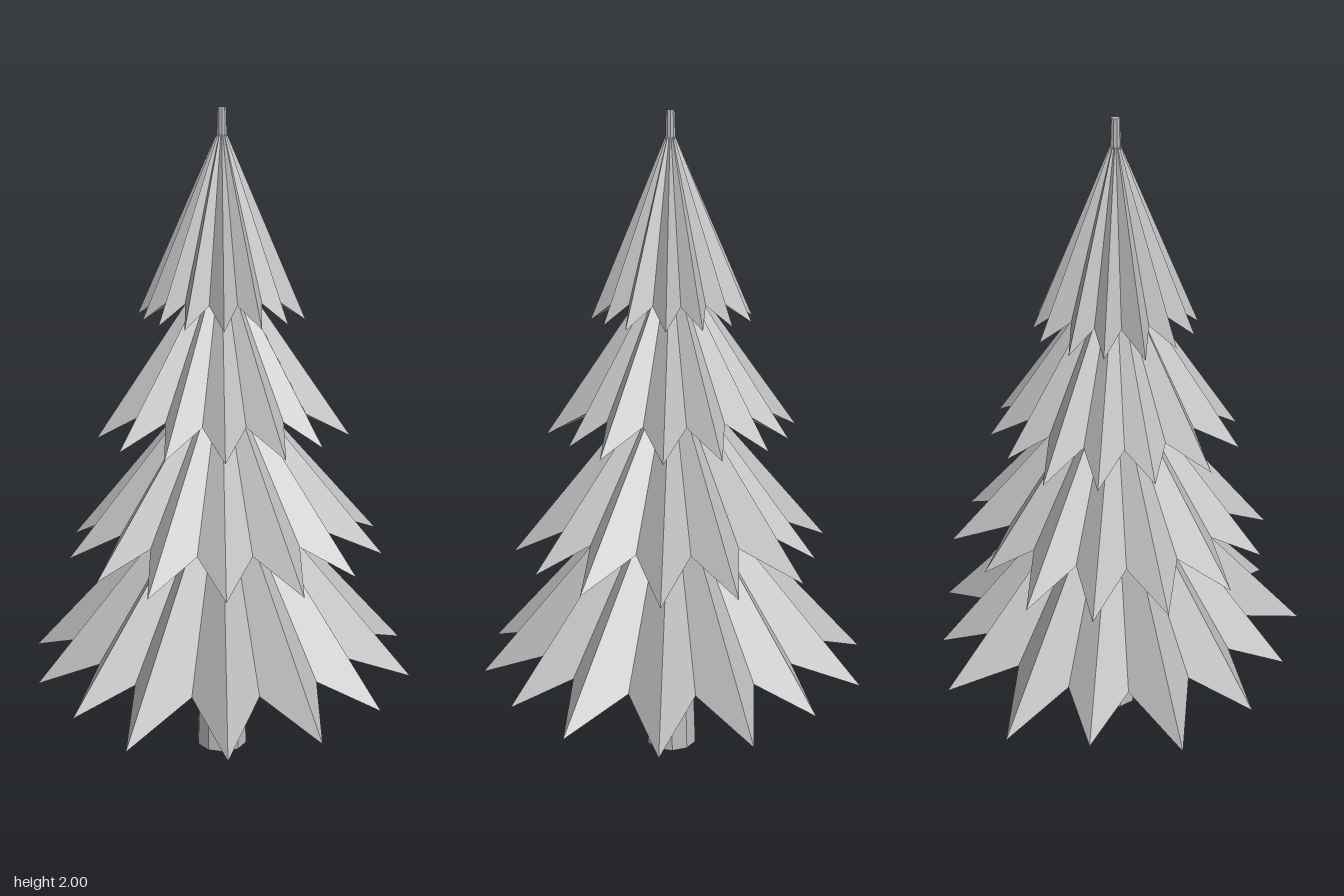
import * as THREE from 'three';

const POINTS = 14;
// direction of each branch tip in degrees, from +x towards +z
const TIP_ANGLES = [-2, 23.5, 51, 76, 102, 128.5, 155, 178.5, 204, 231, 257.5, 281, 308.5, 332.5];

// apex: top of the cone, tipY / valleyY: rim heights, capY: height of the hollow underside,
// valley: rim radius between branches, tips: radius of each branch tip
const TIERS = [
  { name: 'bottomBranches', apex: 0.98, tipY: 0.285, valleyY: 0.37, capY: 0.49, valley: 0.425,
    tips: [0.61, 0.62, 0.6, 0.58, 0.6, 0.62, 0.63, 0.58, 0.59, 0.62, 0.57, 0.63, 0.615, 0.575] },
  { name: 'lowerBranches', apex: 1.27, tipY: 0.685, valleyY: 0.77, capY: 0.86, valley: 0.345,
    tips: [0.5, 0.518, 0.5, 0.483, 0.49, 0.468, 0.49, 0.48, 0.48, 0.478, 0.487, 0.5, 0.463, 0.517] },
  { name: 'upperBranches', apex: 1.6, tipY: 1.055, valleyY: 1.13, capY: 1.21, valley: 0.27,
    tips: [0.38, 0.385, 0.39, 0.36, 0.38, 0.37, 0.377, 0.39, 0.385, 0.35, 0.37, 0.395, 0.37, 0.38] },
  { name: 'topBranches', apex: 1.96, tipY: 1.4, valleyY: 1.46, capY: 1.53, valley: 0.175,
    tips: [0.24, 0.245, 0.25, 0.235, 0.24, 0.25, 0.245, 0.24, 0.24, 0.257, 0.24, 0.25, 0.25, 0.24] },
];

// zigzag rim: tip, valley, tip, valley...
function rimPoints(tier) {
  const rim = [];
  const add = (deg, r, y) => {
    const a = THREE.MathUtils.degToRad(deg);
    rim.push([r * Math.cos(a), y, r * Math.sin(a)]);
  };
  for (let i = 0; i < POINTS; i++) {
    const here = TIP_ANGLES[i];
    const next = i + 1 < POINTS ? TIP_ANGLES[i + 1] : TIP_ANGLES[0] + 360;
    add(here, tier.tips[i], tier.tipY);
    add((here + next) / 2, tier.valley, tier.valleyY);
  }
  return rim;
}

// fan of triangles from the rim to a point on the axis
function fan(rim, centreY, facingUp) {
  const n = rim.length;
  const index = [];
  for (let i = 0; i < n; i++) {
    const a = i + 1, b = ((i + 1) % n) + 1;
    index.push(0, ...(facingUp ? [b, a] : [a, b]));
  }
  const g = new THREE.BufferGeometry();
  g.setAttribute('position', new THREE.Float32BufferAttribute([[0, centreY, 0], ...rim].flat(), 3));
  g.setIndex(index);
  const out = facingUp ? g.toNonIndexed() : g; // faceted on top, smooth below
  out.computeVertexNormals();
  return out;
}

export function createModel() {
  const grey = new THREE.MeshStandardMaterial({ color: 0xbcbcbc });
  grey.name = 'plainGrey';

  const model = new THREE.Group();
  model.name = 'firTree';
  const tree = new THREE.Group();
  tree.name = 'tree';
  tree.position.set(-0.02, 0, 0.015);
  model.add(tree);

  const addMesh = (parent, name, geometry) => {
    const mesh = new THREE.Mesh(geometry, grey);
    mesh.name = name;
    parent.add(mesh);
    return mesh;
  };

  // tapered trunk running right through to the tip
  const trunkGeometry = new THREE.CylinderGeometry(0.013, 0.082, 2, 10).toNonIndexed();
  trunkGeometry.computeVertexNormals();
  addMesh(tree, 'trunk', trunkGeometry).position.y = 1;

  // star-shaped branch tiers with hollow undersides
  for (const tier of TIERS) {
    const group = new THREE.Group();
    group.name = tier.name;
    const rim = rimPoints(tier);
    addMesh(group, 'needles', fan(rim, tier.apex, true));
    addMesh(group, 'underside', fan(rim, tier.capY, false));
    tree.add(group);
  }
  return model;
}
